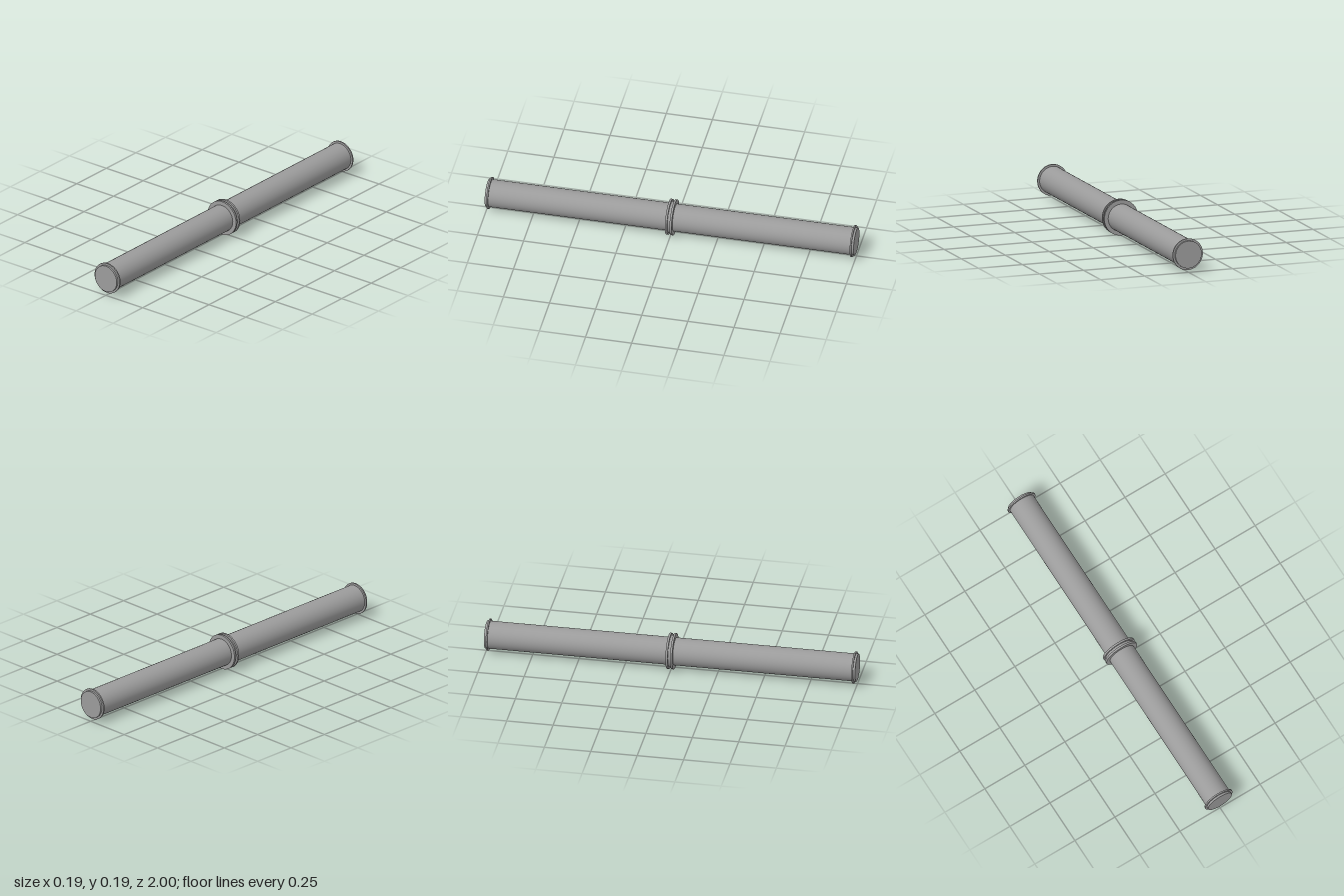
import * as THREE from 'three';

export function createModel() {
  const group = new THREE.Group();
  const material = new THREE.MeshStandardMaterial({ color: 0x9b9b9b });
  const axisY = 0.096;

  // Solid disc or rod lying along z
  function disc(name, radius, length, z) {
    const geometry = new THREE.CylinderGeometry(radius, radius, length, 64);
    geometry.rotateX(Math.PI / 2);
    const mesh = new THREE.Mesh(geometry, material);
    mesh.name = name;
    mesh.position.set(0, axisY, z);
    group.add(mesh);
  }

  // Two pipe halves, each with an end rim and a coupling flange
  for (const [side, s] of [['front', 1], ['back', -1]]) {
    disc(side + 'Pipe', 0.074, 1, s * 0.5);
    disc(side + 'EndRim', 0.085, 0.008, s * 0.985);
    disc(side + 'CouplingFlange', 0.096, 0.011, s * 0.0125);
  }

  // Recessed ring between the flanges
  disc('couplingGasket', 0.085, 0.014, 0);

  return group;
}
